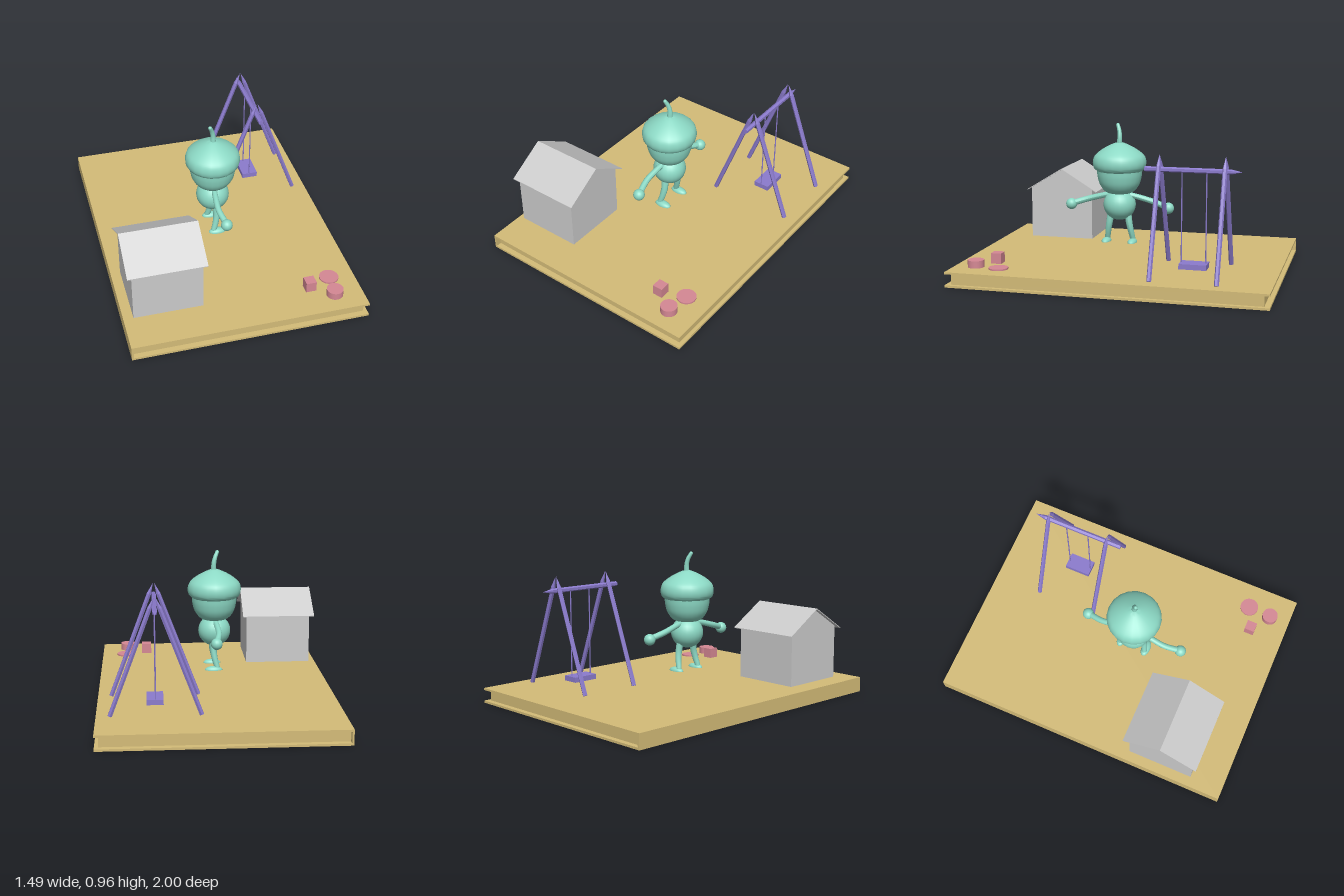
import * as THREE from 'three';
import { toCreasedNormals } from 'three/addons/utils/BufferGeometryUtils.js';

const V = (x, y, z) => new THREE.Vector3(x, y, z);
const mat = (color, flatShading = false) => new THREE.MeshStandardMaterial({ color, flatShading });

const wood = mat(0xd4bc78), grey = mat(0xcccccc), teal = mat(0x8cd9c5);
const purple = mat(0x8b7bcd, true), pink = mat(0xd58894);

function add(parent, name, geometry, material, x = 0, y = 0, z = 0) {
  const mesh = new THREE.Mesh(geometry, material);
  mesh.name = name;
  mesh.position.set(x, y, z);
  parent.add(mesh);
  return mesh;
}

function group(parent, name) {
  const g = new THREE.Group();
  g.name = name;
  parent.add(g);
  return g;
}

// Box given by its minimum and maximum corners
function boxBetween(parent, name, a, b, material) {
  return add(parent, name, new THREE.BoxGeometry(b[0] - a[0], b[1] - a[1], b[2] - a[2]), material,
    (a[0] + b[0]) / 2, (a[1] + b[1]) / 2, (a[2] + b[2]) / 2);
}

// Six-sided pole from a to b, ending in a point of length tip
function pole(parent, name, a, b, r, tip) {
  const length = a.distanceTo(b);
  const profile = [[0, 0], [r, 0], [r, length - tip], [0, length]].map(p => new THREE.Vector2(...p));
  const mesh = add(parent, name, new THREE.LatheGeometry(profile, 6), purple, a.x, a.y, a.z);
  mesh.quaternion.setFromUnitVectors(V(0, 1, 0), b.clone().sub(a).normalize());
}

// Curved tube through points, tapering from r0 to r1, with a rounded end
function limb(parent, name, points, r0, r1) {
  const curve = new THREE.CatmullRomCurve3(points);
  const rows = 14, sides = 12;
  const geo = new THREE.TubeGeometry(curve, rows, 1, sides);
  const pos = geo.attributes.position, p = V(0, 0, 0);
  for (let i = 0; i < pos.count; i++) {
    const t = Math.floor(i / (sides + 1)) / rows, c = curve.getPointAt(t);
    p.fromBufferAttribute(pos, i).sub(c).multiplyScalar(r0 + (r1 - r0) * t).add(c);
    pos.setXYZ(i, p.x, p.y, p.z);
  }
  geo.computeVertexNormals();
  add(parent, name, geo, teal);
  const end = points[points.length - 1];
  add(parent, name + 'End', new THREE.SphereGeometry(r1, 12, 8), teal, end.x, end.y, end.z);
}

const lathe = (points, sides) =>
  new THREE.LatheGeometry(new THREE.SplineCurve(points.map(p => new THREE.Vector2(...p))).getPoints(24), sides);

// Extrudes a (z, y) outline along x from x0 to x1
function extrudeX(parent, name, outline, x0, x1, material) {
  const shape = new THREE.Shape(outline.map(p => new THREE.Vector2(...p)));
  const geo = new THREE.ExtrudeGeometry(shape, { depth: x1 - x0, bevelEnabled: false });
  geo.rotateY(-Math.PI / 2);
  add(parent, name, geo, material, x1, 0, 0);
}

// Platform with a groove on three sides and a flat plate on the fourth
function buildPlatform(root) {
  const g = group(root, 'platform');
  boxBetween(g, 'platformBottom', [-0.745, 0, -1], [0.745, 0.014, 1], wood);
  boxBetween(g, 'platformTop', [-0.745, 0.084, -1], [0.745, 0.097, 1], wood);
  boxBetween(g, 'platformCore', [-0.735, 0.014, -0.965], [0.72, 0.084, 0.965], wood);
  boxBetween(g, 'platformSidePlate', [-0.745, 0.014, -1], [-0.733, 0.084, 1], wood);
}

// House with a thin overhanging gable roof
function buildHouse(root) {
  const g = group(root, 'house');
  extrudeX(g, 'houseWalls',
    [[0.347, 0.125], [0.78, 0.125], [0.78, 0.468], [0.558, 0.602], [0.347, 0.472]], -0.687, -0.253, grey);
  extrudeX(g, 'houseRoof',
    [[0.31, 0.452], [0.558, 0.602], [0.805, 0.452], [0.805, 0.457], [0.558, 0.608], [0.31, 0.457]],
    -0.715, -0.227, grey);
}

// Acorn-headed figure, turned toward +x, so its limbs mirror across z
function buildFigure(root) {
  const g = group(root, 'acornFigure');
  g.position.set(-0.013, 0, 0.086);

  add(g, 'acornCap', toCreasedNormals(lathe([[0.145, 0.648], [0.166, 0.665], [0.175, 0.7], [0.166, 0.74],
    [0.138, 0.77], [0.09, 0.802], [0.035, 0.828], [0, 0.837]], 20), 0.7), teal);
  add(g, 'capUnderside', new THREE.CircleGeometry(0.147, 20).rotateX(Math.PI / 2), teal, 0, 0.649, 0);
  add(g, 'head', lathe([[0, 0.497], [0.06, 0.5], [0.1, 0.518], [0.13, 0.56], [0.144, 0.61], [0.148, 0.652]], 24), teal);
  limb(g, 'stem', [V(0.004, 0.82, 0), V(0.003, 0.87, -0.002), V(-0.006, 0.91, 0.003), V(-0.02, 0.944, 0.016)], 0.018, 0.012);
  add(g, 'body', new THREE.SphereGeometry(0.106, 24, 18), teal, 0, 0.425, 0).scale.y = 0.96;

  for (const s of [1, -1]) {
    const side = s > 0 ? 'right' : 'left';
    limb(g, side + 'Arm', [V(-0.004, 0.492, s * 0.06), V(-0.012, 0.475, s * 0.13),
      V(-0.016, 0.45, s * 0.22), V(0.005, 0.42, s * 0.32)], 0.018, 0.02);
    add(g, side + 'Hand', new THREE.SphereGeometry(0.037, 18, 14), teal, 0.006, 0.415, s * 0.328);
    limb(g, side + 'Leg', [V(0.006, 0.36, s * 0.058), V(0.009, 0.3, s * 0.068),
      V(0.002, 0.25, s * 0.077), V(-0.013, 0.195, s * 0.086)], 0.024, 0.018);
    // Foot: half ellipsoid with a flat sole
    const foot = group(g, side + 'Foot');
    foot.position.set(0.01, 0.177, s * 0.088);
    add(foot, 'footUpper', new THREE.SphereGeometry(1, 20, 8, 0, Math.PI * 2, 0, Math.PI / 2), teal).scale.set(0.058, 0.025, 0.03);
    const sole = add(foot, 'sole', new THREE.CircleGeometry(1, 20).rotateX(Math.PI / 2), teal);
    sole.scale.set(0.058, 1, 0.03);
  }
}

// Swing made of pointed six-sided poles
function buildSwing(root) {
  const g = group(root, 'swing');
  const x = 0.387;
  for (const z of [-0.272, -0.677]) {
    for (const s of [1, -1]) {
      pole(g, 'swingLeg', V(x + s * 0.274, 0.1, z), V(x + s * 0.003, 0.822, z), 0.015, 0.075);
    }
  }
  pole(g, 'swingBeam', V(x, 0.732, -0.18), V(x, 0.732, -0.78), 0.016, 0.07);
  for (const z of [-0.411, -0.563]) {
    add(g, 'rope', new THREE.CylinderGeometry(0.004, 0.004, 0.58, 8), purple, x, 0.445, z);
  }
  boxBetween(g, 'seat', [0.338, 0.13, -0.576], [0.442, 0.163, -0.404], purple);
}

// Small loose pieces on the platform
function buildToys(root) {
  const g = group(root, 'toys');
  boxBetween(g, 'cube', [0.4, 0.097, 0.735], [0.466, 0.164, 0.802], pink);
  add(g, 'drum', new THREE.CylinderGeometry(0.052, 0.052, 0.046, 28), pink, 0.566, 0.12, 0.862);
  add(g, 'disc', new THREE.CylinderGeometry(0.061, 0.061, 0.01, 28), pink, 0.582, 0.102, 0.707);
}

export function createModel() {
  const root = new THREE.Group();
  root.name = 'playground';
  buildPlatform(root);
  buildHouse(root);
  buildFigure(root);
  buildSwing(root);
  buildToys(root);
  return root;
}
